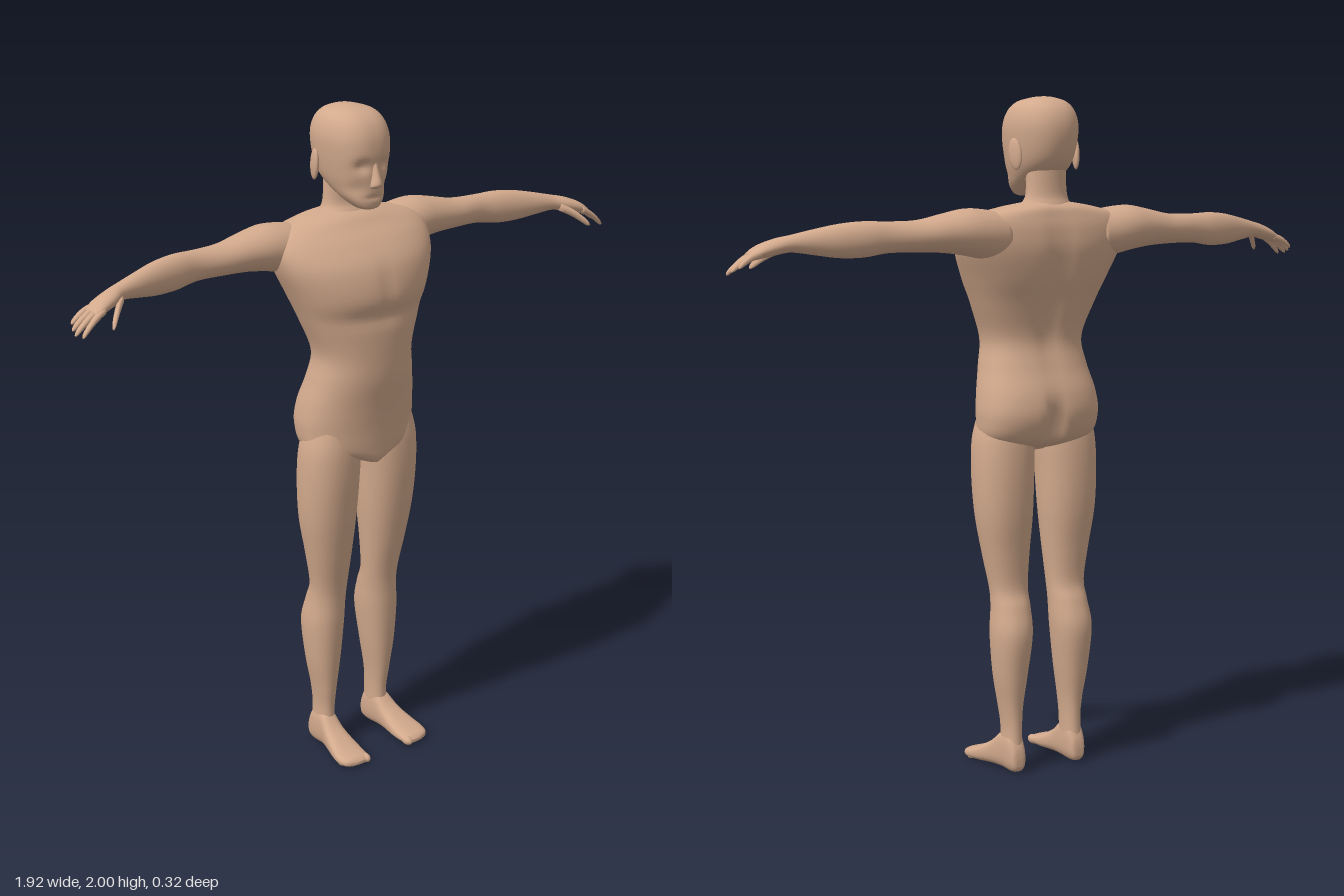
import * as THREE from 'three';

const skin = new THREE.MeshStandardMaterial({ color: 0xd2a98c });
skin.name = 'skin';

// Catmull-Rom blend of four numbers
const blend = (p, q, r, s, t) =>
  0.5 * (2 * q + (r - p) * t + (2 * p - 5 * q + 4 * r - s) * t * t + (3 * q - p - 3 * r + s) * t * t * t);

const bump = (v, centre, width) => Math.exp(-(((v - centre) / width) ** 2));

// Closed smooth skin over rings [t, a0, a1, b0, b1] (ascending t).
// Axis 'x': a=y b=z, axis 'y': a=z b=x, axis 'z': a=x b=y.
// nPos / nNeg square off the ring on its +a / -a side; rule(p) may sculpt points.
function loft(axis, rings, { steps = 6, sides = 32, nPos = 2, nNeg = 2, rule } = {}) {
  const k = 'xyz'.indexOf(axis), pos = [], index = [], sections = [];
  const at = i => rings[Math.min(Math.max(i, 0), rings.length - 1)];
  for (let i = 0; i < rings.length - 1; i++)
    for (let s = 0; s < steps; s++)
      sections.push(rings[i].map((_, c) => blend(at(i - 1)[c], at(i)[c], at(i + 1)[c], at(i + 2)[c], s / steps)));
  sections.push(at(rings.length));
  const add = (t, a, b) => {
    const p = [0, 0, 0];
    p[k] = t; p[(k + 1) % 3] = a; p[(k + 2) % 3] = b;
    if (rule) rule(p);
    pos.push(...p);
  };
  for (const [t, a0, a1, b0, b1] of sections)
    for (let j = 0; j < sides; j++) {
      const u = (j / sides) * Math.PI * 2, c = Math.cos(u), s = Math.sin(u);
      const e = 2 / (c >= 0 ? nPos : nNeg);
      add(t, (a0 + a1) / 2 + (a1 - a0) / 2 * Math.sign(c) * Math.abs(c) ** e,
        (b0 + b1) / 2 + (b1 - b0) / 2 * Math.sign(s) * Math.abs(s) ** e);
    }
  const last = sections.length - 1;
  for (let i = 0; i < last; i++)
    for (let j = 0; j < sides; j++) {
      const n = (j + 1) % sides, a = i * sides + j, b = i * sides + n;
      index.push(a, b, a + sides, b, b + sides, a + sides);
    }
  // end caps
  for (const i of [0, last]) {
    const [t, a0, a1, b0, b1] = sections[i], centre = pos.length / 3;
    add(t, (a0 + a1) / 2, (b0 + b1) / 2);
    for (let j = 0; j < sides; j++) {
      const a = i * sides + j, b = i * sides + (j + 1) % sides;
      index.push(centre, ...(i ? [a, b] : [b, a]));
    }
  }
  const g = new THREE.BufferGeometry();
  g.setAttribute('position', new THREE.Float32BufferAttribute(pos, 3));
  g.setIndex(index);
  g.computeVertexNormals();
  return g;
}

// Finger tapering between two points, rounded at the tip
function finger(from, to, r) {
  const rings = [[0, 1], [0.35, 1], [0.6, 0.95], [0.85, 0.8], [0.96, 0.5], [1, 0.08]].map(([f, w]) => {
    const [x, y, z] = from.map((v, i) => v + (to[i] - v) * f);
    const drop = 0.006 * Math.sin(f * Math.PI);
    return [x, y + drop - r * w, y + drop + r * w, z - r * w, z + r * w];
  });
  return loft('x', rings, { steps: 3, sides: 12 });
}

function mirrorX(g) {
  const m = g.clone().scale(-1, 1, 1), ix = m.index.array;
  for (let i = 0; i < ix.length; i += 3) [ix[i], ix[i + 1]] = [ix[i + 1], ix[i]];
  m.computeVertexNormals();
  return m;
}

export function createModel() {
  const model = new THREE.Group();
  model.name = 'figure';
  const part = (name, g) => {
    const mesh = new THREE.Mesh(g, skin);
    mesh.name = name;
    model.add(mesh);
  };
  const pair = (name, g) => {
    part('left' + name, g);
    part('right' + name, mirrorX(g));
  };
  // symmetric ring: height, back, front, half width
  const sym = rows => rows.map(([y, z0, z1, w]) => [y, z0, z1, -w, w]);

  // torso, with seat cleft, spine groove and chest modelling
  part('torso', loft('y', sym([
    [0.955, 0.03, 0.095, 0.02], [0.975, -0.05, 0.105, 0.085], [1.005, -0.105, 0.108, 0.175], [1.07, -0.135, 0.113, 0.192],
    [1.14, -0.13, 0.122, 0.186], [1.22, -0.102, 0.135, 0.168], [1.3, -0.086, 0.139, 0.158],
    [1.4, -0.11, 0.141, 0.194], [1.48, -0.14, 0.15, 0.228], [1.56, -0.158, 0.13, 0.262],
    [1.62, -0.156, 0.085, 0.27], [1.66, -0.146, 0.04, 0.24], [1.685, -0.135, 0.012, 0.15], [1.7, -0.11, -0.02, 0.06],
  ]), {
    sides: 72, nPos: 2.1, nNeg: 2.6,
    rule: p => {
      const [x, y, z] = p;
      if (z < -0.03) p[2] += 0.04 * bump(x, 0, 0.022) * bump(y, 1.04, 0.07)
        + 0.014 * bump(x, 0, 0.03) * bump(y, 1.45, 0.2);
      if (z > 0.05) p[2] -= 0.009 * bump(y, 1.415, 0.025) * bump(x, 0, 0.15)
        + 0.006 * bump(x, 0, 0.02) * bump(y, 1.5, 0.07);
    },
  }));

  part('neck', loft('y', sym([
    [1.62, -0.14, 0.03, 0.12], [1.67, -0.135, 0.012, 0.1], [1.695, -0.122, -0.008, 0.076],
    [1.73, -0.112, -0.022, 0.064], [1.83, -0.112, -0.01, 0.062],
  ])));

  // head, with eye sockets and mouth line pressed in
  part('head', loft('y', sym([
    [1.714, 0.03, 0.066, 0.018], [1.722, 0.005, 0.077, 0.038], [1.75, -0.045, 0.081, 0.063], [1.785, -0.105, 0.082, 0.079],
    [1.82, -0.137, 0.083, 0.089], [1.87, -0.154, 0.088, 0.097], [1.92, -0.157, 0.083, 0.099],
    [1.96, -0.144, 0.064, 0.088], [1.985, -0.118, 0.032, 0.066], [1.997, -0.085, -0.012, 0.03], [2, -0.06, -0.04, 0.008],
  ]), {
    sides: 72, nPos: 2.4, nNeg: 2.2,
    rule: p => {
      const [x, y, z] = p;
      if (z > 0) p[2] -= 0.014 * bump(Math.abs(x), 0.038, 0.022) * bump(y, 1.842, 0.017)
        + 0.005 * bump(x, 0, 0.03) * bump(y, 1.75, 0.006)
        + 0.008 * bump(Math.abs(x), 0.055, 0.025) * bump(y, 1.775, 0.025);
    },
  }));
  part('nose', loft('y', sym([
    [1.776, 0.07, 0.087, 0.012], [1.783, 0.065, 0.1, 0.018], [1.793, 0.065, 0.105, 0.017],
    [1.82, 0.065, 0.096, 0.011], [1.85, 0.06, 0.086, 0.009], [1.868, 0.06, 0.084, 0.008],
  ]), { sides: 20 }));
  const ear = new THREE.SphereGeometry(1, 20, 14).scale(0.01, 0.046, 0.024);
  pair('Ear', ear.rotateX(0.15).rotateY(0.3).translate(0.103, 1.836, -0.064));

  // arm from shoulder to wrist and palm
  pair('Arm', loft('x', [
    [0.16, 1.54, 1.672, -0.145, -0.01], [0.22, 1.54, 1.682, -0.153, 0.0], [0.28, 1.552, 1.685, -0.152, -0.003],
    [0.35, 1.562, 1.672, -0.14, -0.013], [0.43, 1.566, 1.656, -0.123, -0.022], [0.52, 1.566, 1.654, -0.106, -0.032],
    [0.59, 1.556, 1.656, -0.1, -0.022], [0.66, 1.556, 1.65, -0.086, -0.012], [0.73, 1.566, 1.636, -0.064, -0.002],
    [0.79, 1.574, 1.622, -0.046, 0.008], [0.83, 1.567, 1.613, -0.038, 0.028],
    [0.875, 1.557, 1.596, -0.03, 0.042], [0.9, 1.553, 1.578, -0.022, 0.042], [0.905, 1.56, 1.57, -0.01, 0.03],
  ], { steps: 4 }));

  // hand
  [[-0.018, 0.945, 1.537, -0.02], [0, 0.957, 1.526, 0.004], [0.018, 0.962, 1.518, 0.026], [0.035, 0.952, 1.515, 0.047]]
    .forEach(([z, tx, ty, tz], i) => pair('Finger' + (i + 1), finger([0.875, 1.573, z], [tx, ty, tz], 0.0105)));
  pair('Thumb', finger([0.805, 1.585, 0.008], [0.874, 1.53, 0.073], 0.0125));

  // leg: y, z back, z front, x inner, x outer
  pair('Leg', loft('y', [
    [0.05, -0.085, 0.005, 0.077, 0.135], [0.13, -0.08, 0.004, 0.077, 0.131], [0.2, -0.082, 0.012, 0.072, 0.139],
    [0.3, -0.096, 0.022, 0.058, 0.156], [0.42, -0.11, 0.03, 0.045, 0.165], [0.5, -0.09, 0.032, 0.043, 0.158],
    [0.56, -0.068, 0.038, 0.041, 0.158], [0.66, -0.072, 0.056, 0.033, 0.176], [0.78, -0.086, 0.075, 0.023, 0.196],
    [0.9, -0.09, 0.088, 0.018, 0.202], [1.0, -0.085, 0.09, 0.015, 0.198], [1.07, -0.07, 0.08, 0.03, 0.18],
  ], { nPos: 2.2, nNeg: 2.2 }));

  // foot: z, x inner, x outer, sole, top
  pair('Foot', loft('z', [
    [-0.092, 0.095, 0.118, 0.02, 0.045], [-0.085, 0.083, 0.128, 0.006, 0.08], [-0.06, 0.077, 0.135, 0, 0.12],
    [-0.015, 0.076, 0.138, 0.002, 0.118], [0.03, 0.074, 0.15, 0.003, 0.08], [0.08, 0.07, 0.164, 0, 0.052],
    [0.12, 0.07, 0.17, 0, 0.036], [0.148, 0.075, 0.158, 0.002, 0.028], [0.16, 0.088, 0.125, 0.008, 0.018],
  ], { nPos: 2.6, nNeg: 2.6 }));
  // toes
  [[0.085, 0.143, 0.014], [0.107, 0.14, 0.011], [0.125, 0.134, 0.01], [0.141, 0.127, 0.01], [0.156, 0.117, 0.009]]
    .forEach(([x, z, r], i) => pair('Toe' + (i + 1),
      new THREE.SphereGeometry(1, 14, 10).scale(r, r, r * 1.6).translate(x, r, z)));

  return model;
}
